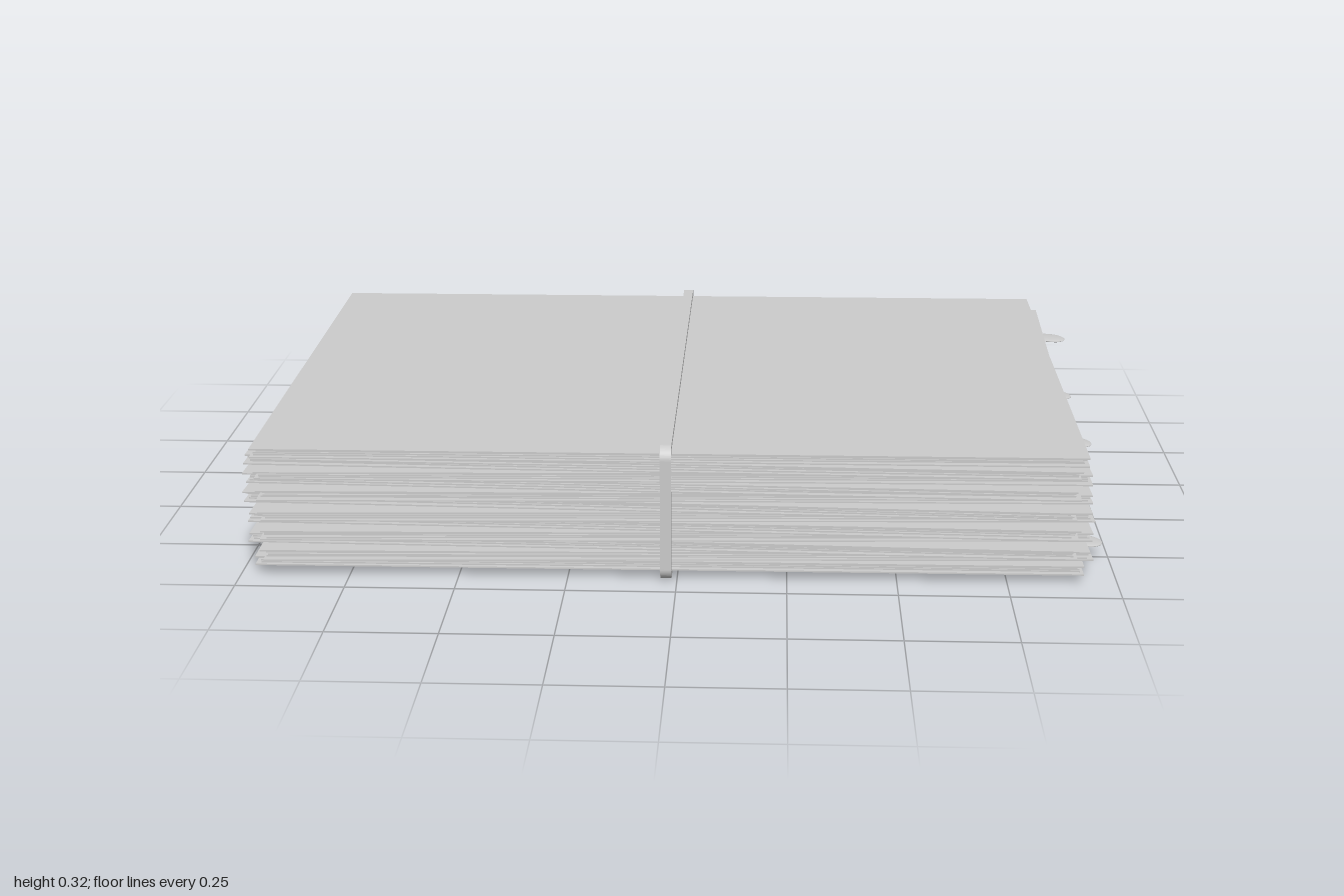
import * as THREE from 'three';

const CENTER_X = -0.025, HALF_Z = 0.67;
const FOLDERS = 12, BASE = 0.019, TOP = 0.302;

// Small seeded generator, returns -1..1
function makeRandom(seed) {
  let s = seed;
  return () => {
    s = (s * 16807) % 2147483647;
    return (s / 2147483647) * 2 - 1;
  };
}

// Thin sheet with a faint waviness
function sheetGeometry(width, thickness, depth, wave, phase) {
  const g = new THREE.BoxGeometry(width, thickness, depth, 12, 1, 8);
  const p = g.attributes.position;
  for (let i = 0; i < p.count; i++) {
    const x = p.getX(i), z = p.getZ(i);
    p.setY(i, p.getY(i) + wave * Math.sin(x * 3.1 + phase) * Math.cos(z * 4.3 + phase * 2));
  }
  g.computeVertexNormals();
  return g;
}

// Rounded rectangle outline, drawn in the z-y plane of the band
function roundedRect(path, hw, hh, r) {
  path.moveTo(-hw + r, -hh);
  path.lineTo(hw - r, -hh);
  path.absarc(hw - r, -hh + r, r, -Math.PI / 2, 0);
  path.lineTo(hw, hh - r);
  path.absarc(hw - r, hh - r, r, 0, Math.PI / 2);
  path.lineTo(-hw + r, hh);
  path.absarc(-hw + r, hh - r, r, Math.PI / 2, Math.PI);
  path.lineTo(-hw, -hh + r);
  path.absarc(-hw + r, -hh + r, r, Math.PI, Math.PI * 1.5);
  return path;
}

export function createModel() {
  const model = new THREE.Group();
  model.name = 'tiedFolderStack';
  const material = new THREE.MeshStandardMaterial({ color: 0xcccccc });
  const random = makeRandom(4711);
  const add = (parent, name, geometry, x, y, z) => {
    const mesh = new THREE.Mesh(geometry, material);
    mesh.name = name;
    mesh.position.set(x, y, z);
    parent.add(mesh);
    return mesh;
  };

  // Folders: two covers with loose pages between, each turned a little
  const pitch = (TOP - BASE) / FOLDERS;
  for (let f = 0; f < FOLDERS; f++) {
    const folder = new THREE.Group();
    folder.name = 'folder' + (f + 1);
    const outer = f === 0 || f === FOLDERS - 1;
    const turn = outer ? 0.004 : (f % 2 ? 1 : -1) * (0.02 + 0.014 * Math.abs(random()));
    folder.position.set(CENTER_X, BASE + f * pitch, 0);
    folder.rotation.y = turn;
    for (let k = 0; k < 5; k++) {
      const cover = k === 0 || k === 4;
      const flat = outer && cover;
      const width = cover ? 1.89 : 1.87, depth = cover ? HALF_Z * 2 : HALF_Z * 2 - 0.015;
      const geometry = sheetGeometry(width, 0.0034, depth, flat ? 0 : 0.0011, random() * 3);
      const sheet = add(folder, cover ? 'cover' : 'page', geometry,
        flat ? 0 : random() * 0.004, (k + 0.5) * pitch / 5, 0);
      sheet.rotation.y = flat ? 0 : random() * 0.006;
    }
    model.add(folder);
  }

  // Index tabs: flattened round-ended tongues on the left edge
  const tabs = [[0.5, 0.042, 0.985], [0, 0.086, 0.998], [-0.26, 0.156, 0.998],
    [0.295, 0.215, 0.977], [-0.46, 0.254, 1.0]];
  const tabGeometry = new THREE.CapsuleGeometry(0.036, 0.09, 8, 20);
  tabGeometry.rotateZ(Math.PI / 2);
  tabGeometry.scale(1, 0.13, 1);
  for (const [z, y, end] of tabs) {
    const tab = add(model, 'tab', tabGeometry, end - 0.081, y, z);
    tab.rotation.z = -0.06;
  }

  // Band wrapped around the middle of the stack
  const outline = roundedRect(new THREE.Shape(), 0.692, 0.16, 0.03);
  outline.holes.push(roundedRect(new THREE.Path(), 0.676, 0.146, 0.018));
  const bandGeometry = new THREE.ExtrudeGeometry(outline, { depth: 0.025, bevelEnabled: false, curveSegments: 8 });
  bandGeometry.translate(0, 0, -0.0125);
  bandGeometry.rotateY(Math.PI / 2);
  add(model, 'band', bandGeometry, CENTER_X, 0.16, 0);

  return model;
}
